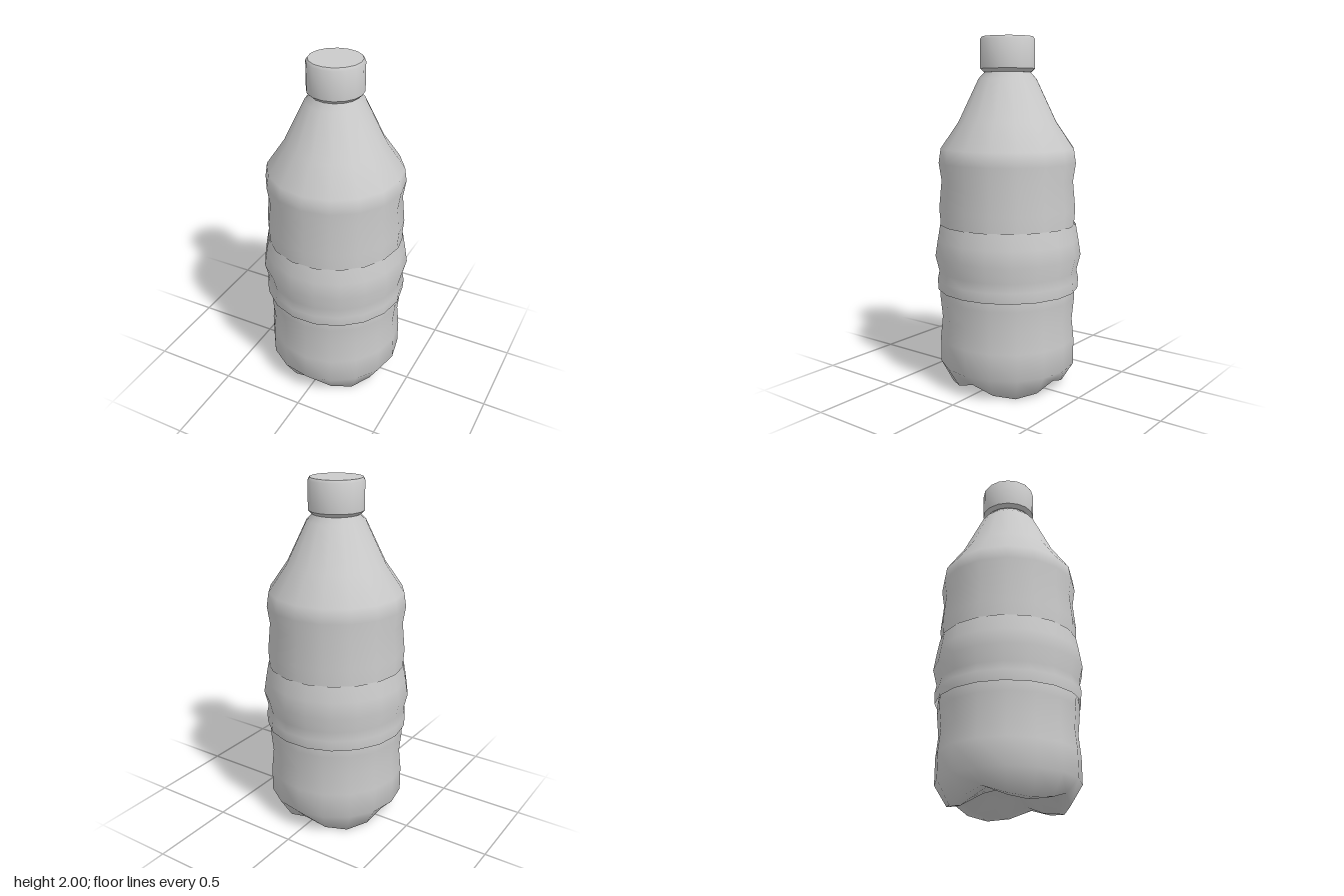
import * as THREE from 'three';
import { mergeVertices, toCreasedNormals } from 'three/addons/utils/BufferGeometryUtils.js';

const material = new THREE.MeshStandardMaterial({ color: 0xcccccc });
const openMaterial = new THREE.MeshStandardMaterial({ color: 0xcccccc, side: THREE.DoubleSide });

// Turned surface from [radius, height] pairs, listed from bottom to top
function turned(profile, sides) {
  const points = profile.map(([r, y]) => new THREE.Vector2(r, y));
  return new THREE.LatheGeometry(points, sides, Math.PI / 2);
}

// Weld the seam so the shading runs smoothly all round
function smooth(geometry) {
  geometry.deleteAttribute('normal');
  geometry.deleteAttribute('uv');
  const welded = mergeVertices(geometry, 1e-4);
  welded.computeVertexNormals();
  return welded;
}

function addPart(group, name, geometry, mat = material) {
  const mesh = new THREE.Mesh(geometry, mat);
  mesh.name = name;
  group.add(mesh);
}

// Body: ribbed wall, sloping shoulder, and a base with four feet on the diagonals
function bodyGeometry() {
  // radius, height, extra height in the valleys between the feet
  const profile = [
    [0, 0.12, 0], [0.14, 0.075, 0.035], [0.265, 0.002, 0.063], [0.325, 0, 0.058],
    [0.395, 0.13, 0], [0.395, 0.28, 0], [0.383, 0.40, 0], [0.395, 0.52, 0],
    [0.395, 0.58, 0], [0.383, 0.68, 0], [0.395, 0.77, 0], [0.395, 0.84, 0],
    [0.388, 0.95, 0], [0.395, 1.04, 0], [0.38, 1.20, 0], [0.395, 1.30, 0],
    [0.383, 1.38, 0], [0.28, 1.53, 0], [0.165, 1.77, 0], [0.125, 1.81, 0],
    [0.12, 1.86, 0],
  ];
  const geometry = turned(profile, 16);
  const pos = geometry.attributes.position;
  for (let i = 0; i < pos.count; i++) {
    const lift = profile[i % profile.length][2];
    const angle = Math.atan2(pos.getZ(i), pos.getX(i));
    pos.setY(i, pos.getY(i) + lift * (1 - Math.abs(Math.sin(2 * angle))));
  }
  return smooth(geometry);
}

export function createModel() {
  const bottle = new THREE.Group();
  bottle.name = 'bottle';

  addPart(bottle, 'body', bodyGeometry());

  // Label: thin open sleeve around the middle
  const label = turned([
    [0.408, 0.57], [0.412, 0.63], [0.402, 0.68], [0.424, 0.77], [0.41, 0.86], [0.394, 0.95],
  ], 18);
  addPart(bottle, 'label', smooth(label), openMaterial);

  // Cap with small bevels
  const cap = turned([
    [0, 1.805], [0.135, 1.805], [0.156, 1.825], [0.156, 1.985], [0.146, 2], [0, 2],
  ], 16);
  addPart(bottle, 'cap', toCreasedNormals(smooth(cap), 0.75));

  return bottle;
}
